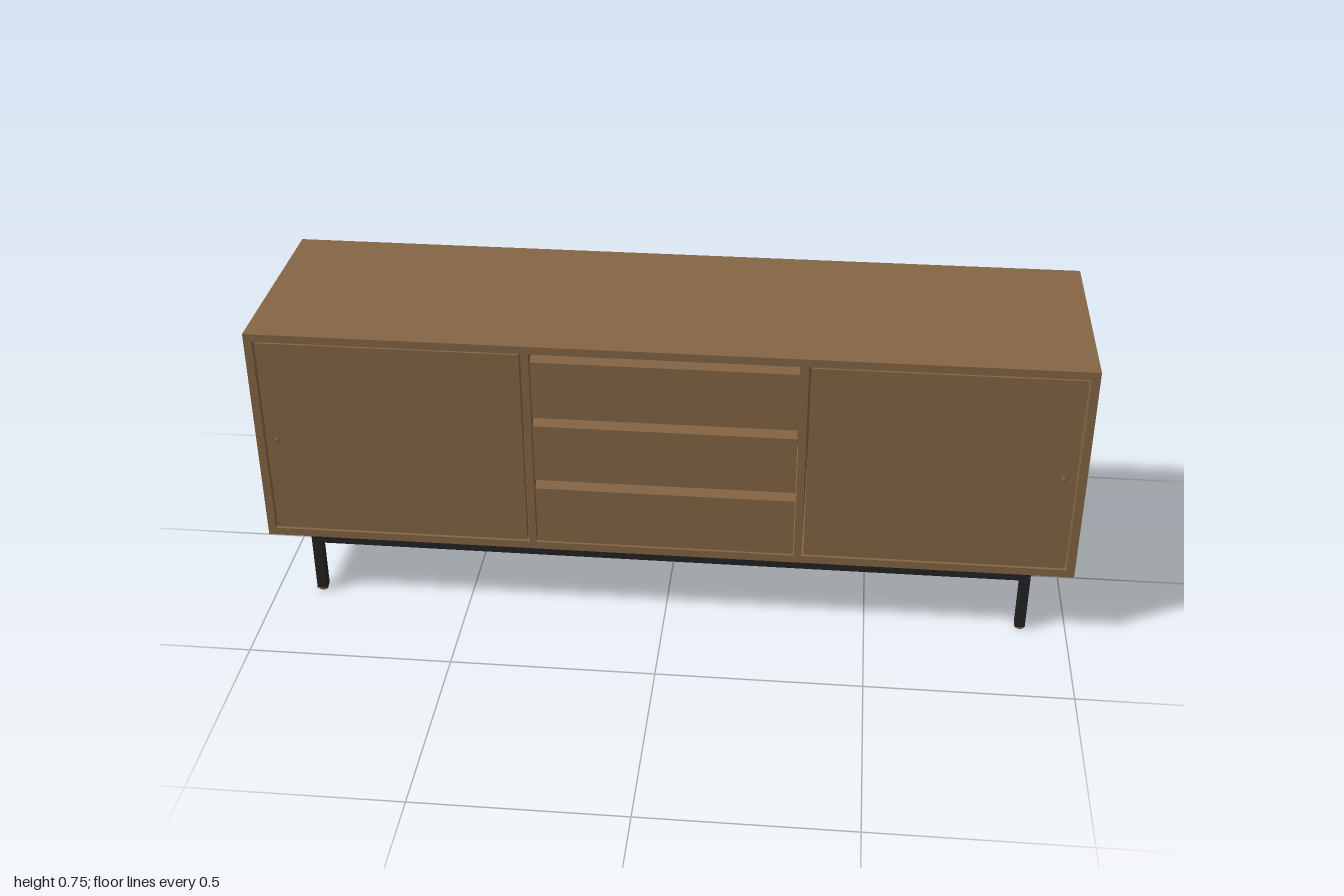
import * as THREE from 'three';

const wood = new THREE.MeshStandardMaterial({ color: 0x856645 });
wood.name = 'walnut brown';
const steel = new THREE.MeshStandardMaterial({ color: 0x242424 });
steel.name = 'black steel';

// Box given by its lower and upper limits on each axis
function slab(name, material, [x0, x1], [y0, y1], [z0, z1]) {
  const mesh = new THREE.Mesh(new THREE.BoxGeometry(x1 - x0, y1 - y0, z1 - z0), material);
  mesh.name = name;
  mesh.position.set((x0 + x1) / 2, (y0 + y1) / 2, (z0 + z1) / 2);
  return mesh;
}

// The same limits, mirrored to the other side of x = 0
const span = (a, b, side) => (side > 0 ? [a, b] : [-b, -a]);

export function createModel() {
  const model = new THREE.Group();
  model.name = 'sideboard';
  const back = -0.272, front = 0.26;
  const bottom = 0.182, floor = 0.202, ceiling = 0.73, top = 0.75;

  // Carcass
  model.add(
    slab('topPanel', wood, [-1, 1], [ceiling, top], [back, front]),
    slab('bottomPanel', wood, [-1, 1], [bottom, floor], [back, front]),
    slab('backPanel', wood, [-0.98, 0.98], [floor, ceiling], [back, back + 0.015]),
  );

  // Door knob, turned around the z axis
  const knobProfile = [[0, 0], [0.0025, 0], [0.0025, 0.006], [0.0055, 0.009], [0.0055, 0.011], [0.0035, 0.013], [0, 0.0135]]
    .map(([r, h]) => new THREE.Vector2(r, h));
  const knobGeometry = new THREE.LatheGeometry(knobProfile, 20).rotateX(Math.PI / 2);

  for (const side of [-1, 1]) {
    model.add(
      slab('sidePanel', wood, span(0.98, 1, side), [floor, ceiling], [back, front]),
      slab('divider', wood, span(0.319, 0.337, side), [floor, ceiling], [back + 0.015, front]),
      slab('door', wood, span(0.342, 0.975, side), [floor + 0.004, ceiling - 0.004], [front - 0.022, front - 0.002]),
    );
    const knob = new THREE.Mesh(knobGeometry, wood);
    knob.name = 'doorKnob';
    knob.position.set(side * 0.945, 0.466, front - 0.002);
    model.add(knob);
  }

  // Drawer fronts with a sloping finger grip along the top edge
  for (const [y0, y1] of [[0.205, 0.358], [0.383, 0.534], [0.558, 0.708]]) {
    const z0 = front - 0.022, z1 = front - 0.002;
    const profile = new THREE.Shape([[-z1, y0], [-z0, y0], [-z0, y1 + 0.017], [-z1, y1]]
      .map(([a, b]) => new THREE.Vector2(a, b)));
    const geometry = new THREE.ExtrudeGeometry(profile, { depth: 0.632, bevelEnabled: false });
    geometry.translate(0, 0, -0.316).rotateY(Math.PI / 2);
    const drawer = new THREE.Mesh(geometry, wood);
    drawer.name = 'drawerFront';
    model.add(drawer);
  }

  // Steel base: rails, legs and small foot pads
  const legX = 0.9, w = 0.025, frameFront = 0.235, frameBack = -0.247, railY = [0.147, bottom];
  const legSpans = [[frameBack, frameBack + w], [frameFront - w, frameFront]];
  for (const z of legSpans) {
    model.add(slab('longRail', steel, [-legX, legX], railY, z));
    for (const side of [-1, 1]) {
      model.add(slab('leg', steel, span(legX - w, legX, side), [0.006, railY[0]], z));
      const pad = new THREE.Mesh(new THREE.CylinderGeometry(w / 2, w / 2, 0.006, 20), wood);
      pad.name = 'footPad';
      pad.position.set(side * (legX - w / 2), 0.003, (z[0] + z[1]) / 2);
      model.add(pad);
    }
  }
  for (const side of [-1, 1]) {
    model.add(slab('shortRail', steel, span(legX - w, legX, side), railY, [frameBack + w, frameFront - w]));
  }
  return model;
}
